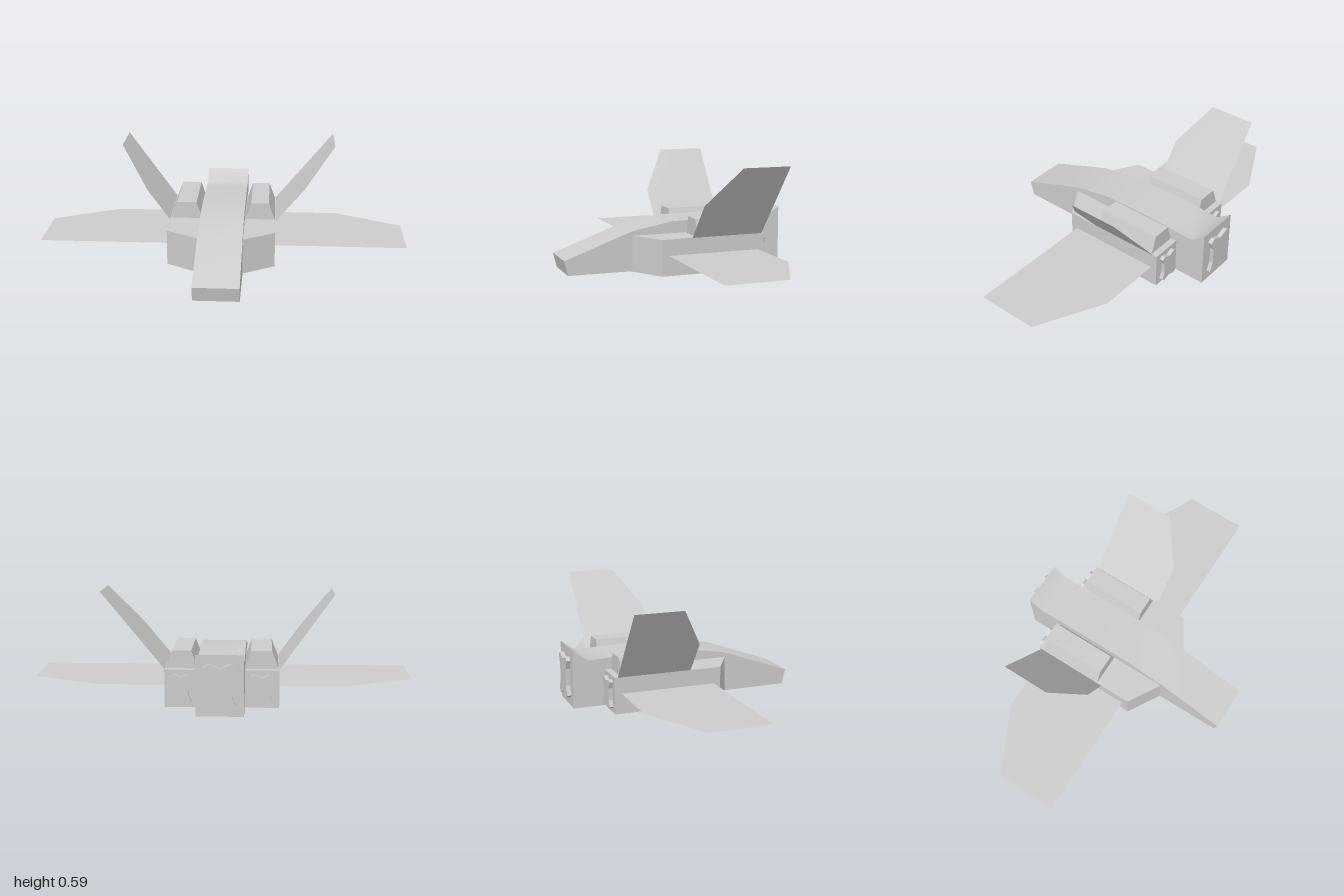
import * as THREE from 'three';
import { toCreasedNormals } from 'three/addons/utils/BufferGeometryUtils.js';

const solidMat = new THREE.MeshStandardMaterial({ color: 0xcccccc });
const sheetMat = new THREE.MeshStandardMaterial({ color: 0xcccccc, side: THREE.DoubleSide });

const outline = (pts) => new THREE.Shape(pts.map(([x, y]) => new THREE.Vector2(x, y)));
const extrude = (pts, depth) =>
  new THREE.ExtrudeGeometry(outline(pts), { depth, bevelEnabled: false });

function addPart(group, name, geometry, material = solidMat) {
  const mesh = new THREE.Mesh(geometry, material);
  mesh.name = name;
  group.add(mesh);
}

// Thin flat convex panel through 3D corners
function panel(corners) {
  const geo = new THREE.BufferGeometry();
  geo.setAttribute('position', new THREE.Float32BufferAttribute(corners.flat(), 3));
  const index = [];
  for (let i = 1; i < corners.length - 1; i++) index.push(0, i, i + 1);
  geo.setIndex(index);
  geo.computeVertexNormals();
  return geo;
}

// Exhaust plate: square with clipped corners and pinched edges
function nozzle(w, h, x, y, z) {
  const unit = [
    [0, 0.8], [0.68, 1], [1, 0.85], [0.72, 0.4], [0.72, -0.4], [1, -0.85], [0.68, -1],
    [0, -0.8], [-0.68, -1], [-1, -0.85], [-0.72, -0.4], [-0.72, 0.4], [-1, 0.85], [-0.68, 1],
  ];
  return extrude(unit.map(([u, v]) => [u * w, v * h]), 0.022).translate(x, y, z);
}

export function createModel() {
  const model = new THREE.Group();

  // Central fuselage: side profile (z, y) swept across x
  const profile = [
    [0.63, 0.09], [0.61, 0.01], [-0.608, 0.003], [-0.608, 0.313], [-0.525, 0.255],
    [-0.4, 0.262], [-0.2, 0.268], [0.03, 0.265], [0.255, 0.225],
  ];
  const body = extrude(profile, 0.24).rotateY(-Math.PI / 2).translate(0.118, 0, 0);
  addPart(model, 'fuselage', toCreasedNormals(body, 0.75));
  addPart(model, 'mainNozzle', nozzle(0.08, 0.112, -0.002, 0.158, -0.63));

  // Left (+x) and right (-x) sides; the right tail fin is a little shorter
  const sides = [
    { label: 'left', s: 1, outer: 0.288, finMid: [0.445, 0.39], finTip: [0.61, 0.595] },
    { label: 'right', s: -1, outer: 0.298, finMid: [-0.42, 0.37], finTip: [-0.572, 0.585] },
  ];
  for (const { label, s, outer, finMid, finTip } of sides) {
    // Engine block with angled intake, plan (x, z)
    const plan = [
      [s * 0.1, 0.265], [s * 0.12, 0.255], [s * outer, 0.15],
      [s * outer, -0.435], [s * 0.1, -0.435],
    ];
    addPart(model, label + 'EngineBlock',
      extrude(plan, 0.195).rotateX(Math.PI / 2).translate(0, 0.2, 0));

    // Raised trapezoid hump on the block
    const hump = [
      [s * 0.12, 0.198], [s * 0.152, 0.293], [s * (outer - 0.038), 0.293], [s * (outer - 0.003), 0.198],
    ];
    addPart(model, label + 'EngineHump', extrude(hump, 0.35).translate(0, 0, -0.4));

    // Engine exhaust
    addPart(model, label + 'Nozzle',
      nozzle(0.056, 0.078, s * (outer + 0.12) / 2, 0.102, -0.456));

    // Main wing
    addPart(model, label + 'Wing', panel([
      [s * 0.27, 0.113, 0.113], [s, 0.113, 0.113], [s, 0.113, -0.22],
      [s * 0.64, 0.113, -0.4], [s * 0.27, 0.113, -0.4],
    ]), sheetMat);

    // Canted tail fin
    addPart(model, label + 'TailFin', panel([
      [s * outer, 0.2, -0.02], [...finMid, -0.02], [...finTip, -0.16],
      [...finTip, -0.42], [s * outer, 0.2, -0.42],
    ]), sheetMat);
  }
  return model;
}
